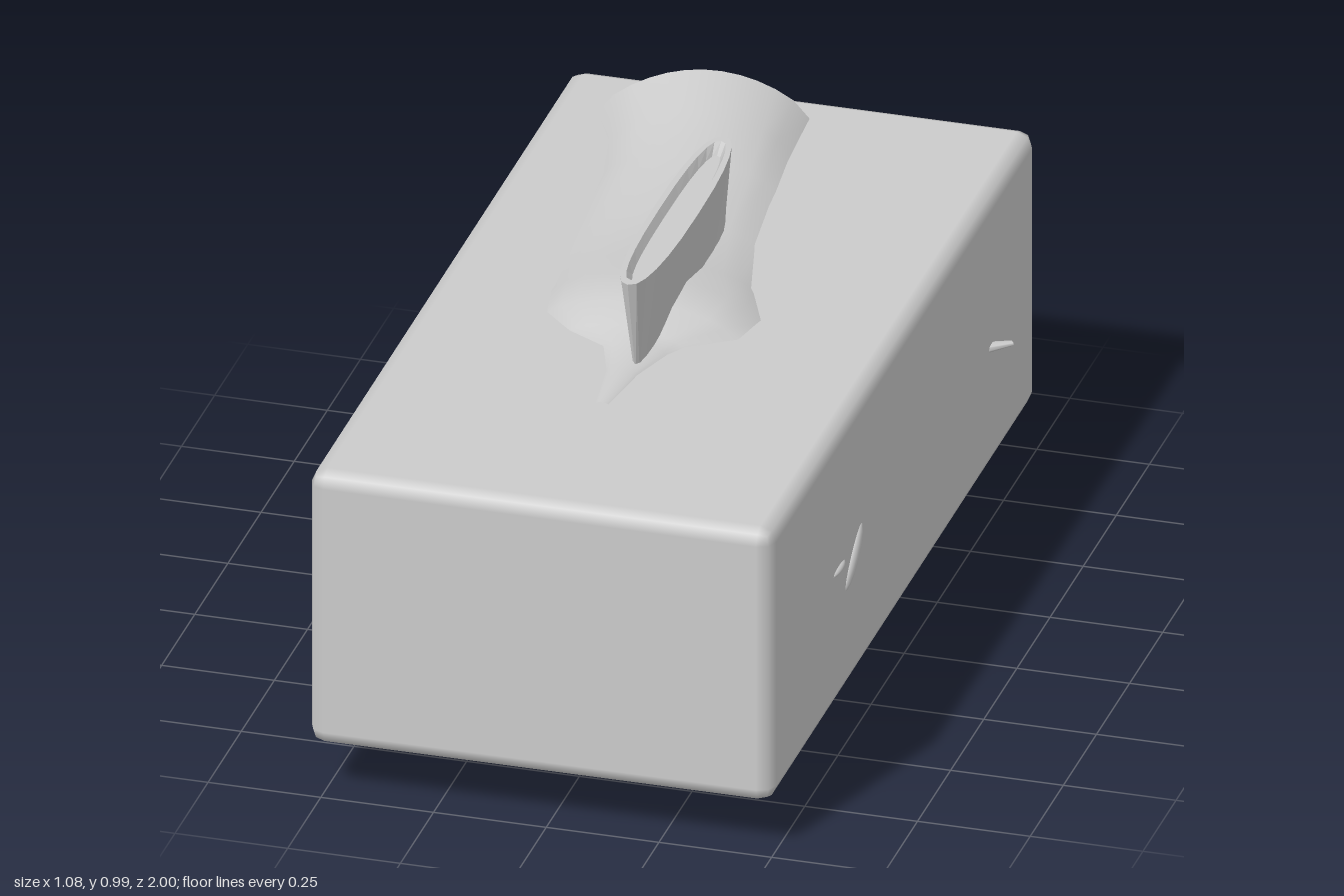
import * as THREE from 'three';
import { RoundedBoxGeometry } from 'three/addons/geometries/RoundedBoxGeometry.js';

// Skin a grid of points: rows of equal length, joined in order
function loft(rows) {
  const n = rows[0].length, index = [];
  for (let r = 0; r < rows.length - 1; r++) {
    for (let c = 0; c < n - 1; c++) {
      const a = r * n + c, b = a + n;
      index.push(a, b, a + 1, b, b + 1, a + 1);
    }
  }
  const g = new THREE.BufferGeometry();
  g.setAttribute('position', new THREE.Float32BufferAttribute(rows.flat(2), 3));
  g.setIndex(index);
  g.computeVertexNormals();
  return g;
}

// Horizontal rounded ring; power below 1 makes it blunter
function ring(y, cx, halfX, z0, z1, power = 1, steps = 24) {
  const soft = (v) => Math.sign(v) * Math.abs(v) ** power;
  return Array.from({ length: steps + 1 }, (_, i) => {
    const a = (i / steps) * Math.PI * 2;
    return [cx + halfX * soft(Math.cos(a)), y, (z0 + z1) / 2 + ((z1 - z0) / 2) * soft(Math.sin(a))];
  });
}

// Arched cross-section between a left and a right foot
function arch([xl, zl, xr, zr, h], base = 0.765, steps = 12) {
  return Array.from({ length: steps + 1 }, (_, i) => {
    const t = i / steps;
    const rise = Math.max(0, Math.sin(Math.PI * t)) ** 0.65;
    return [xl + (xr - xl) * t, base + h * rise, zl + (zr - zl) * t];
  });
}

export function createModel() {
  const group = new THREE.Group();
  const solid = new THREE.MeshStandardMaterial({ color: 0xcccccc });
  const sheet = new THREE.MeshStandardMaterial({ color: 0xcccccc, side: THREE.DoubleSide });
  const faceted = new THREE.MeshStandardMaterial({ color: 0xcccccc, side: THREE.DoubleSide, flatShading: true });

  const add = (name, geometry, material) => {
    const mesh = new THREE.Mesh(geometry, material);
    mesh.name = name;
    group.add(mesh);
    return mesh;
  };

  // Large block with softened edges
  add('block', new RoundedBoxGeometry(1.03, 0.65, 2, 1, 0.035), solid).position.set(-0.015, 0.445, 0);

  // Arched body breaking through the top: left x, left z, right x, right z, height
  const sections = [
    [-0.42, -0.80, 0.03, -0.90, 0.115],
    [-0.36, -0.68, 0.04, -0.73, 0.088],
    [-0.33, -0.54, 0.06, -0.55, 0.062],
    [-0.31, -0.30, 0.09, -0.30, 0.042],
    [-0.29, -0.10, 0.14, -0.10, 0.048],
    [-0.28, 0.03, 0.20, 0.04, 0.078],
    [-0.26, 0.13, 0.18, 0.14, 0.064],
    [-0.19, 0.20, 0.08, 0.21, 0.036],
    [-0.10, 0.25, 0.055, 0.25, 0.024],
    [-0.06, 0.36, 0.02, 0.36, 0.014],
    [-0.04, 0.51, 0.00, 0.51, 0.008],
  ];
  add('archedBody', loft(sections.map((s) => arch(s))), sheet);

  // Thin rim and inner wall at the open rear end
  add('archRim', loft([
    arch(sections[0]),
    arch([-0.40, -0.80, 0.01, -0.89, 0.095]),
    arch([-0.34, -0.68, 0.02, -0.73, 0.068]),
  ]), faceted);

  // Upright fin with a shallow hollow along its top
  add('fin', loft([
    ring(0.755, 0, 0.018, -0.33, 0.325, 0.8),
    ring(0.99, -0.003, 0.05, -0.352, 0.375, 0.8),
    ring(0.99, -0.003, 0.036, -0.33, 0.352, 0.8),
    ring(0.97, -0.003, 0.026, -0.30, 0.32, 0.8),
    ring(0.97, -0.003, 0, 0, 0.01),
  ]), faceted);

  // Rounded foot showing below the block
  add('lowerFoot', loft([
    ring(0.13, -0.39, 0.084, 0.02, 0.362),
    ring(0.06, -0.387, 0.064, 0.15, 0.362),
    ring(0.025, -0.385, 0.042, 0.22, 0.348),
    ring(0.008, -0.385, 0.022, 0.265, 0.325),
    ring(0.0, -0.385, 0, 0.295, 0.297),
  ]), sheet);

  // Small bumps on the two sides: name, centre, radii, tilt about x
  const bumps = [
    ['leftSlantedBump', [0.496, 0.415, 0.38], [0.015, 0.022, 0.085], 0.69],
    ['leftThinBump', [0.496, 0.44, 0.49], [0.012, 0.009, 0.045], 0],
    ['rightLowBump', [-0.526, 0.34, 0.23], [0.015, 0.05, 0.08], 0.3],
    ['rightHighBump', [-0.526, 0.44, -0.13], [0.014, 0.018, 0.08], 0],
  ];
  for (const [name, centre, radii, tilt] of bumps) {
    const bump = add(name, new THREE.SphereGeometry(1, 16, 10), solid);
    bump.position.set(...centre);
    bump.scale.set(...radii);
    bump.rotation.x = tilt;
  }

  // Short tapered peg poking out near the rear of the left side
  const peg = add('leftPeg', new THREE.CylinderGeometry(0.009, 0.026, 0.1, 8), solid);
  peg.scale.z = 0.5;
  peg.position.set(0.497, 0.41, -0.66);
  peg.quaternion.setFromRotationMatrix(new THREE.Matrix4().makeBasis(
    new THREE.Vector3(0.6, 0, 0.8), new THREE.Vector3(0.8, 0, -0.6), new THREE.Vector3(0, 1, 0)));

  return group;
}
